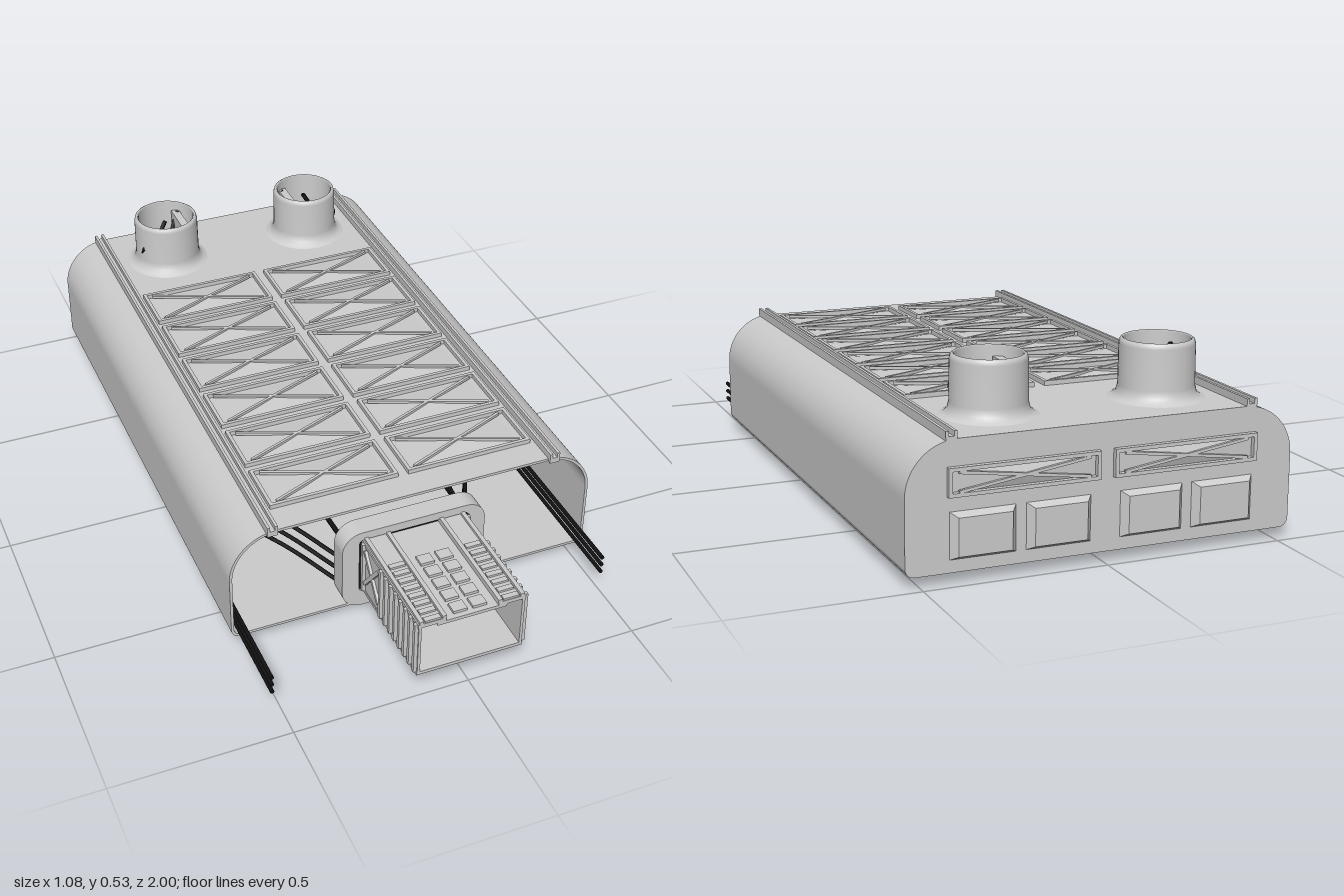
import * as THREE from 'three';

const grey = new THREE.MeshStandardMaterial({ color: 0xcccccc, side: THREE.DoubleSide });
const black = new THREE.MeshStandardMaterial({ color: 0x111111, side: THREE.DoubleSide });
const flat = new THREE.MeshStandardMaterial({ color: 0xcccccc, side: THREE.DoubleSide, flatShading: true });

function add(parent, name, geo, mat = grey) {
  const m = new THREE.Mesh(geo, mat);
  m.name = name;
  parent.add(m);
  return m;
}

// Box given by its min and max corners
function box(parent, name, x0, x1, y0, y1, z0, z1, mat = grey) {
  const m = add(parent, name, new THREE.BoxGeometry(x1 - x0, y1 - y0, z1 - z0), mat);
  m.position.set((x0 + x1) / 2, (y0 + y1) / 2, (z0 + z1) / 2);
  return m;
}

function extrude(shape, depth, z) {
  const g = new THREE.ExtrudeGeometry(shape, { depth, bevelEnabled: false, curveSegments: 14 });
  return g.translate(0, 0, z);
}

function roundRect(path, x0, x1, y0, y1, r) {
  path.absarc(x1 - r, y0 + r, r, -Math.PI / 2, 0);
  path.absarc(x1 - r, y1 - r, r, 0, Math.PI / 2);
  path.absarc(x0 + r, y1 - r, r, Math.PI / 2, Math.PI);
  path.absarc(x0 + r, y0 + r, r, Math.PI, Math.PI * 1.5);
  path.closePath();
  return path;
}

// Half profile of the body, from the bottom corner up to the roof edge
function wallArc(path, inset, reverse) {
  const rT = 0.14 - inset, rB = 0.025 - inset;
  const bottom = () => path.absarc(0.515, 0.055, rB, reverse ? 0 : -Math.PI / 2, reverse ? -Math.PI / 2 : 0, reverse);
  const top = () => path.absarc(0.4, 0.23, rT, reverse ? Math.PI / 2 : 0, reverse ? 0 : Math.PI / 2, reverse);
  if (reverse) { top(); bottom(); } else { bottom(); top(); }
}

// Rectangular framed panel with a crossed, faceted infill; faces +z
function panel(w, h) {
  const g = new THREE.Group();
  g.name = 'crossPanel';
  const t = 0.01, d = 0.014, a = w / 2, b = h / 2;
  for (const s of [-1, 1]) {
    box(g, 'panelFrame', -a, a, s * (b - t / 2) - t / 2, s * (b - t / 2) + t / 2, 0, d);
    box(g, 'panelFrame', s * (a - t / 2) - t / 2, s * (a - t / 2) + t / 2, -b, b, 0, d);
    const bar = add(g, 'crossBar', new THREE.BoxGeometry(Math.hypot(w, h) - 0.06, 0.008, 0.008));
    bar.position.z = 0.01;
    bar.rotation.z = s * Math.atan2(h - 2 * t, w - 2 * t);
  }
  const infill = new THREE.ConeGeometry(Math.SQRT1_2, 0.01, 4, 1, true).rotateY(Math.PI / 4).rotateX(Math.PI / 2);
  infill.scale(w - 2 * t, h - 2 * t, 1).translate(0, 0, 0.005);
  add(g, 'panelInfill', infill, flat);
  return g;
}

function wire(parent, pts, r = 0.007) {
  const curve = new THREE.CatmullRomCurve3(pts.map(p => new THREE.Vector3(...p)), false, 'centripetal');
  add(parent, 'wire', new THREE.TubeGeometry(curve, 48, r, 8), black);
}

function buildBody(g) {
  // Side walls with rounded upper corners
  for (const s of [-1, 1]) {
    const sh = new THREE.Shape();
    wallArc(sh, 0, false);
    wallArc(sh, 0.008, true);
    sh.closePath();
    const wall = add(g, 'sideWall', extrude(sh, 1.62, -0.98));
    if (s < 0) wall.rotation.y = Math.PI, wall.position.z = -0.34;
  }
  box(g, 'floor', -0.515, 0.515, 0.03, 0.038, -0.98, 0.64);
  // Roof, pierced under the two stacks
  const roof = roundRect(new THREE.Shape(), -0.4, 0.4, -0.64, 0.98, 0.001);
  for (const s of [-1, 1]) roof.holes.push(new THREE.Path().absarc(s * 0.24, 0.79, 0.088, 0, Math.PI * 2, true));
  add(g, 'roof', extrude(roof, 0.008, 0).rotateX(-Math.PI / 2)).position.y = 0.362;
  // Rear wall
  const back = new THREE.Shape();
  wallArc(back, 0, false);
  back.absarc(-0.4, 0.23, 0.14, Math.PI / 2, Math.PI);
  back.absarc(-0.515, 0.055, 0.025, Math.PI, Math.PI * 1.5);
  back.closePath();
  add(g, 'rearWall', extrude(back, 0.01, -0.98));
}

function buildConnector(g) {
  // Rounded collar around the dark socket
  const collar = roundRect(new THREE.Shape(), -0.215, 0.215, 0.02, 0.28, 0.06);
  collar.holes.push(roundRect(new THREE.Path(), -0.165, 0.165, 0.07, 0.255, 0.015));
  add(g, 'collar', extrude(collar, 0.06, 0.58));
  box(g, 'socketCore', -0.165, 0.165, 0.07, 0.255, 0.58, 0.63, black);
  // Hollow ribbed connector
  box(g, 'connectorFloor', -0.155, 0.155, 0.075, 0.085, 0.62, 1);
  box(g, 'connectorDeck', -0.1, 0.1, 0.232, 0.242, 0.62, 1);
  for (const s of [-1, 1]) {
    const side = new THREE.Group();
    side.name = 'connectorSide';
    side.scale.x = s;
    g.add(side);
    box(side, 'connectorWall', 0.145, 0.153, 0.075, 0.25, 0.62, 1);
    box(side, 'topRail', 0.075, 0.155, 0.24, 0.252, 0.62, 1);
    for (const x of [0.08, 0.145]) box(side, 'railLip', x - 0.006, x + 0.006, 0.25, 0.26, 0.62, 1);
    for (let i = 0; i < 8; i++) {
      const z = 0.77 + i * 0.0315;
      box(side, 'wallRib', 0.15, 0.163, 0.085, 0.25, z - 0.006, z + 0.006);
      box(side, 'railRung', 0.09, 0.135, 0.25, 0.258, z - 0.008, z + 0.008);
    }
    box(side, 'wallRib', 0.15, 0.163, 0.085, 0.25, 0.645, 0.657);
    for (const t of [-1, 1]) {
      const brace = add(side, 'wallBrace', new THREE.BoxGeometry(0.01, 0.012, 0.15));
      brace.position.set(0.156, 0.175, 0.708);
      brace.rotation.x = t * 0.9;
    }
    for (let i = 0; i < 5; i++) box(side, 'deckButton', 0.008, 0.048, 0.24, 0.25, 0.75 + i * 0.05, 0.785 + i * 0.05);
    box(side, 'latch', 0.085, 0.12, 0.215, 0.225, 0.63, 0.66);
  }
}

function buildStack(g) {
  // Open chimney with a flared foot and rounded rim
  const p = [[0.135, 0.368], [0.118, 0.374], [0.107, 0.385], [0.102, 0.405], [0.101, 0.515], [0.098, 0.526],
    [0.092, 0.53], [0.088, 0.526], [0.088, 0.36]];
  const stack = add(g, 'stack', new THREE.LatheGeometry(p.map(q => new THREE.Vector2(...q)), 40));
  stack.position.set(0.24, 0, -0.79);
  box(g, 'stackBracket', 0.175, 0.2, 0.4, 0.5, -0.86, -0.72);
}

function buildSide(g) {
  // Roof panels
  for (let i = 0; i < 6; i++) {
    const p = panel(0.375, 0.165);
    p.rotation.x = -Math.PI / 2;
    p.position.set(0.2025, 0.369, -0.497 + i * 0.194);
    g.add(p);
  }
  // Roof rail with raised edges
  box(g, 'roofRail', 0.403, 0.433, 0.36, 0.376, -0.98, 0.65);
  for (const x of [0.407, 0.429]) box(g, 'railEdge', x - 0.004, x + 0.004, 0.37, 0.39, -0.98, 0.65);
  // Rear vent panel and two tapered vent covers
  const vent = panel(0.41, 0.075);
  vent.rotation.y = Math.PI;
  vent.position.set(0.225, 0.263, -0.98);
  g.add(vent);
  for (const x of [0.13, 0.335]) {
    const cover = new THREE.CylinderGeometry(0.8 * Math.SQRT1_2, Math.SQRT1_2, 0.022, 4).rotateY(Math.PI / 4);
    cover.rotateX(-Math.PI / 2).scale(0.18, 0.125, 1);
    add(g, 'ventCover', cover, flat).position.set(x, 0.125, -0.989);
  }
  // Ribbed post inside the body
  box(g, 'innerPost', 0.29, 0.35, 0.035, 0.145, 0.12, 0.24);
  for (let i = 0; i < 7; i++) box(g, 'postRib', 0.283, 0.357, 0.04 + i * 0.015, 0.048 + i * 0.015, 0.115, 0.25);
  buildStack(g);
  // Wires from the stack to the collar
  [0.2, 0.26, 0.32].forEach((x, i) => wire(g, [[x - 0.02, 0.5, -0.85 + i * 0.05], [x + 0.01, 0.44, -0.83 + i * 0.04],
    [x, 0.36, -0.79], [x - 0.02, 0.3, -0.3], [0.2, 0.23 - i * 0.01, 0.2], [0.18, 0.2, 0.58]]));
}

export function createModel() {
  const root = new THREE.Group();
  root.name = 'ventilationUnit';
  buildBody(root);
  buildConnector(root);
  for (const s of [1, -1]) {
    const side = new THREE.Group();
    side.name = s > 0 ? 'leftSide' : 'rightSide';
    side.scale.x = s;
    buildSide(side);
    // Wires looping from the collar and out of the open front
    const end = s > 0 ? 0.81 : 0.9, x = s > 0 ? 0.505 : 0.52;
    [0.06, 0.085, 0.11].forEach((y, i) => wire(side, [[0.19, 0.06 + i * 0.045, 0.58], [0.3, 0.07 + i * 0.045, 0.35],
      [0.45, 0.06 + i * 0.045, 0.12], [x - 0.005, y + 0.01, 0.12], [x, y, 0.3], [x, y, end]], 0.006));
    root.add(side);
  }
  // Hollow hatch frame under the body, with its handle
  const hatch = roundRect(new THREE.Shape(), -0.21, 0.21, 0.72, 0.9, 0.004);
  hatch.holes.push(roundRect(new THREE.Path(), -0.18, 0.18, 0.745, 0.875, 0.004));
  add(root, 'hatchFrame', extrude(hatch, 0.032, 0).rotateX(-Math.PI / 2));
  box(root, 'hatchHandle', 0.06, 0.15, 0.01, 0.02, -0.82, -0.8);
  for (const x of [0.06, 0.14]) box(root, 'handlePost', x, x + 0.01, 0.01, 0.032, -0.82, -0.8);
  return root;
}
